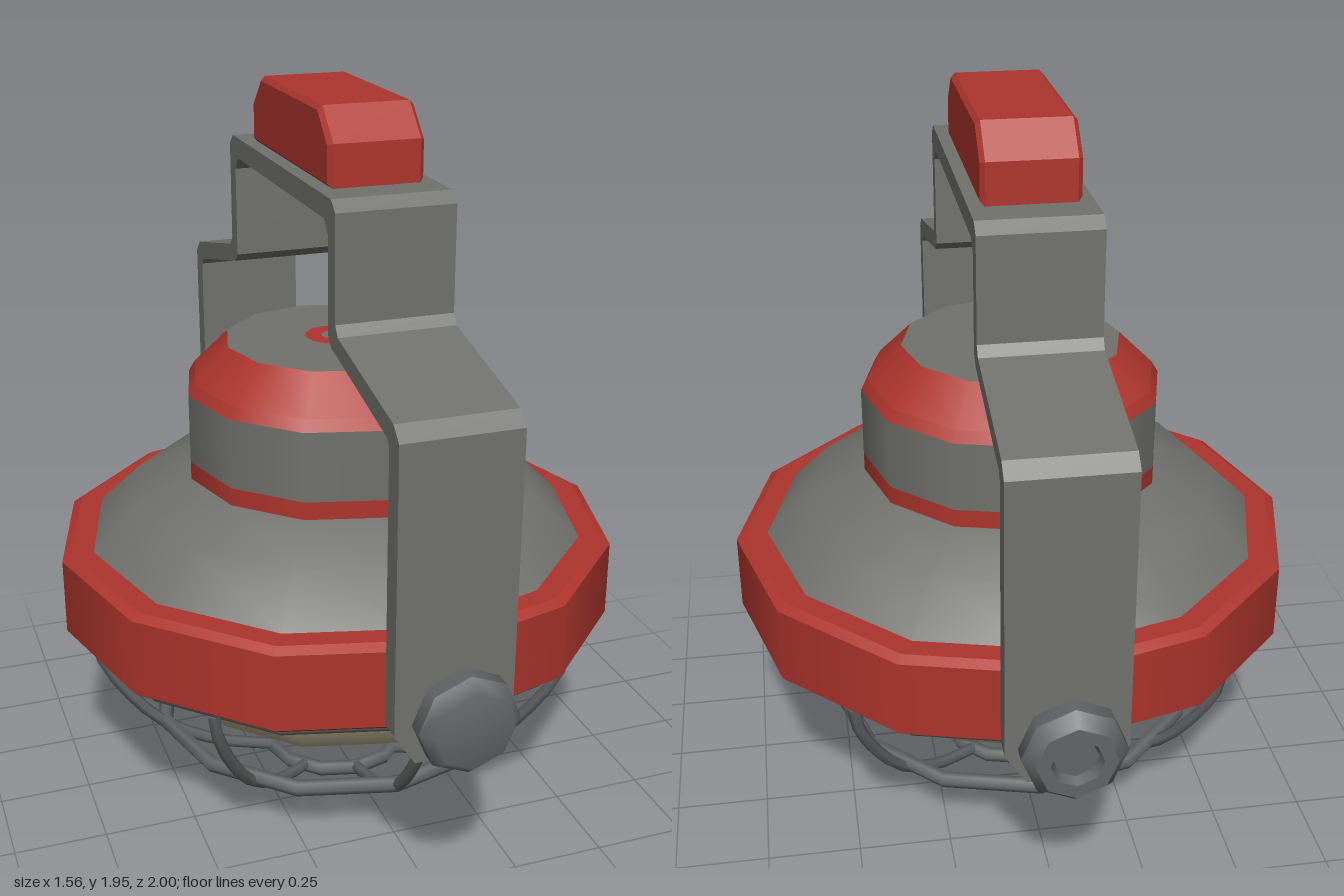
import * as THREE from 'three';

const mat = (name, color, side = THREE.FrontSide) => {
  const m = new THREE.MeshStandardMaterial({ color, side });
  m.name = name;
  return m;
};

export function createModel() {
  const red = mat('red paint', 0xae352d);
  const grey = mat('grey paint', 0x71726d);
  const metal = mat('dark steel', 0x636465);
  const glass = mat('cream glass', 0xb9ae8d);
  const model = new THREE.Group();

  const add = (name, geometry, material, parent = model) => {
    const mesh = new THREE.Mesh(geometry, material);
    mesh.name = name;
    parent.add(mesh);
    return mesh;
  };
  const lathe = (points, sides = 12) =>
    new THREE.LatheGeometry(points.map(p => new THREE.Vector2(...p)), sides);
  // One lathe per profile step: smooth around, sharp between steps
  const bands = (name, points, material, parent = model, sides = 12) => {
    const group = new THREE.Group();
    group.name = name;
    for (let i = 0; i < points.length - 1; i++) {
      add(name + 'Band', lathe([points[i], points[i + 1]], sides), material, group);
    }
    parent.add(group);
    return group;
  };
  // Mirrored side profile (z, y) extruded across x
  const sideExtrude = (half, width, bevel = 0) => {
    const mirrored = half.map(([z, y]) => [-z, y]).reverse();
    const shape = new THREE.Shape([...half, ...mirrored].map(p => new THREE.Vector2(...p)));
    const g = new THREE.ExtrudeGeometry(shape, {
      depth: width - 2 * bevel, bevelEnabled: bevel > 0, bevelSegments: 1,
      bevelSize: bevel, bevelThickness: bevel, bevelOffset: -bevel,
    });
    g.translate(0, 0, bevel - width / 2);
    return g.rotateY(-Math.PI / 2);
  };

  // Housing
  bands('housingRing', [[0.6, 0.5], [0.76, 0.5], [0.78, 0.515], [0.78, 0.725],
    [0.755, 0.74], [0.69, 0.74]], red);
  add('shade', lathe([[0.695, 0.738], [0.575, 0.855], [0.41, 0.92]]), grey);
  bands('lowerCapStripe', [[0.413, 0.915], [0.413, 0.968]], red);
  bands('capWall', [[0.413, 0.968], [0.413, 1.16]], grey);
  bands('capShoulder', [[0.413, 1.16], [0.395, 1.19], [0.3, 1.285]], red);
  bands('capTop', [[0.3, 1.285], [0, 1.285]], grey);
  bands('capTopRing', [[0.08, 1.289], [0.035, 1.289]], red);

  // Lamp
  bands('basePlate', [[0, 0.495], [0.72, 0.495], [0.72, 0.5]], metal);
  bands('lensRim', [[0.5, 0.435], [0.64, 0.435], [0.64, 0.46], [0.6, 0.46], [0.6, 0.497]], metal);
  add('lens', lathe([[0, 0.135], [0.17, 0.15], [0.33, 0.19], [0.46, 0.265],
    [0.535, 0.36], [0.56, 0.45]]), glass);

  // Wire cage
  const cage = new THREE.Group();
  cage.name = 'cage';
  model.add(cage);
  for (const [r, y, t] of [[0.705, 0.48, 0.02], [0.515, 0.17, 0.022], [0.195, 0.022, 0.021]]) {
    const ring = new THREE.TorusGeometry(r, t, 6, 12).rotateX(Math.PI / 2).rotateY(Math.PI);
    add('cageRing', ring.translate(0, y, 0), metal, cage);
  }
  const ribPath = new THREE.CatmullRomCurve3([[0.705, 0.48], [0.69, 0.41], [0.63, 0.3],
    [0.52, 0.17], [0.36, 0.075], [0.19, 0.024]].map(([x, y]) => new THREE.Vector3(x, y, 0)));
  const ribGeometry = new THREE.TubeGeometry(ribPath, 10, 0.017, 6);
  for (let i = 0; i < 8; i++) {
    add('cageRib', ribGeometry, metal, cage).rotation.y = i * Math.PI / 4;
  }

  // Carrying bracket: outer outline down, then inner outline back to the middle
  const outer = [[0.42, 1.767], [0.452, 1.74], [0.452, 1.467], [0.47, 1.44],
    [0.84, 1.355], [0.876, 1.32], [0.876, 0.57]];
  const inner = [[0.816, 0.57], [0.816, 1.29], [0.8, 1.31], [0.425, 1.4],
    [0.4, 1.425], [0.4, 1.675], [0.37, 1.71]];
  add('bracket', sideExtrude([...outer, ...inner], 0.31), grey);
  const tip = new THREE.Shape([[-0.155, 0.57], [-0.1, 0.485], [0.1, 0.485], [0.155, 0.57]]
    .map(p => new THREE.Vector2(...p)));
  const tipGeometry = new THREE.ExtrudeGeometry(tip, { depth: 0.06, bevelEnabled: false });
  for (const z of [0.816, -0.876]) add('bracketTip', tipGeometry, grey).position.z = z;

  // Grip
  add('grip', sideExtrude([[0.24, 1.955], [0.32, 1.875], [0.32, 1.765]], 0.25, 0.012), red);

  // Pivot bolts: domed cap at the front, recessed nut at the back
  for (const front of [true, false]) {
    const bolt = new THREE.Group();
    bolt.name = front ? 'frontBolt' : 'backBolt';
    bolt.position.y = 0.625;
    bolt.rotation.set(front ? Math.PI / 2 : -Math.PI / 2, 0, 0);
    model.add(bolt);
    bands('boltNeck', [[0.082, 0.7], [0.082, 0.915]], metal, bolt, 8);
    bands('boltHead', [[0.08, 0.91], [0.115, 0.91], [0.13, 0.922], [0.13, 0.965]], metal, bolt, 8);
    if (front) {
      add('boltCap', lathe([[0.13, 0.965], [0.1, 1], [0, 1]], 8), metal, bolt);
    } else {
      bands('boltNut', [[0.13, 0.965], [0.1, 1], [0.065, 1], [0.055, 0.975], [0, 0.975]],
        metal, bolt, 8);
    }
  }
  return model;
}
